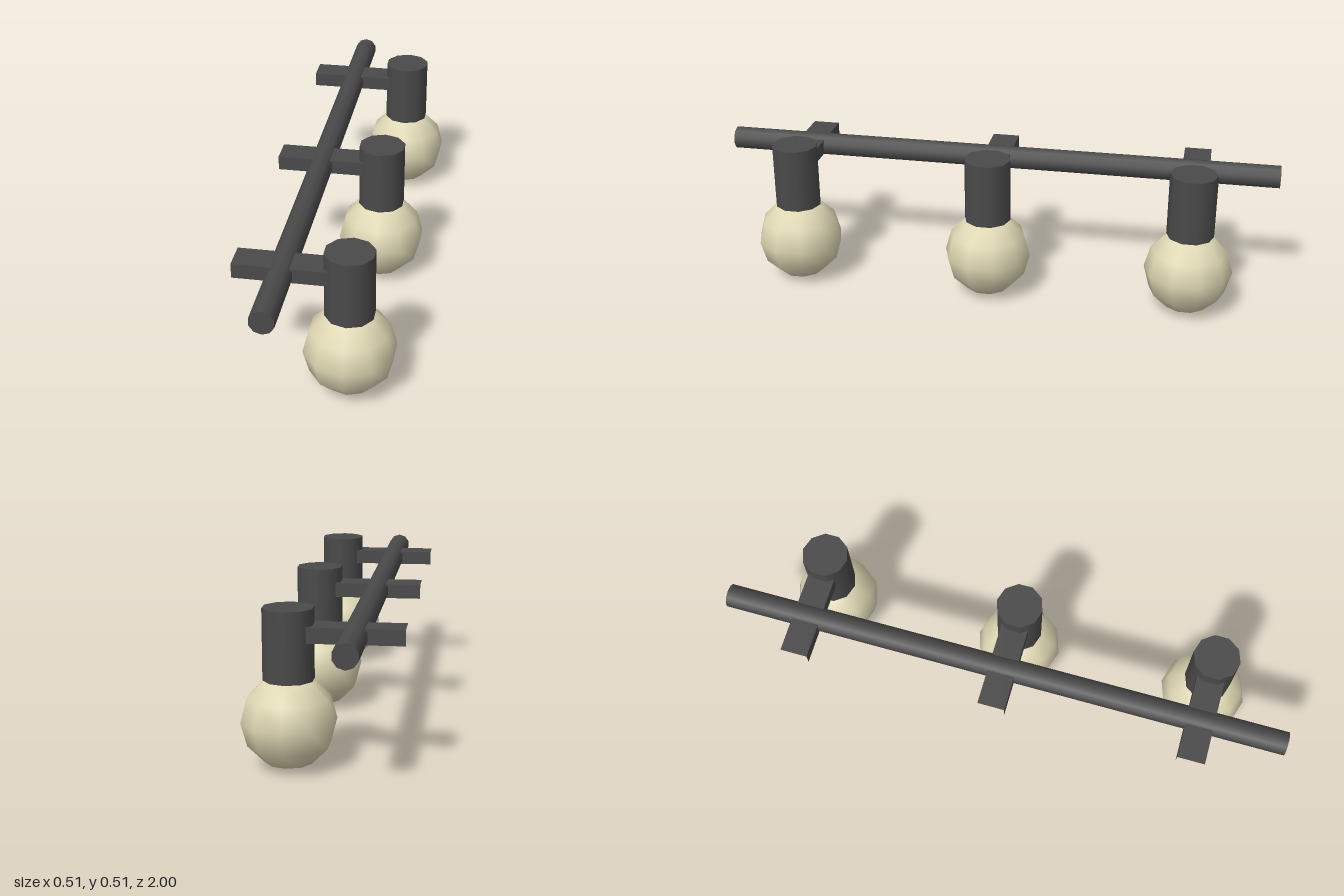
import * as THREE from 'three';

const dark = new THREE.MeshStandardMaterial({ color: 0x4a4a4a });
const cream = new THREE.MeshStandardMaterial({ color: 0xded7b3 });

function part(name, geometry, material, x, y, z) {
  const mesh = new THREE.Mesh(geometry, material);
  mesh.name = name;
  mesh.position.set(x, y, z);
  return mesh;
}

// Box tube along x, left open at both ends (first 12 indices are the x faces)
function openBar(length, height, depth) {
  const g = new THREE.BoxGeometry(length, height, depth);
  g.setIndex(Array.from(g.index.array).slice(12));
  g.clearGroups();
  return g;
}

export function createModel() {
  const model = new THREE.Group();
  model.name = 'railLamp';

  // Long rail, a ten-sided rod
  const railGeo = new THREE.CylinderGeometry(0.0405, 0.0405, 2, 10).rotateX(Math.PI / 2);
  model.add(part('rail', railGeo, dark, -0.102, 0.436, 0));

  const armGeo = openBar(0.32, 0.05, 0.095);
  const socketGeo = new THREE.CylinderGeometry(0.0815, 0.0815, 0.227, 10);
  const bulbGeo = new THREE.SphereGeometry(0.1525, 10, 6).rotateY(Math.PI / 2);

  // Three lamps: cross arm, socket and bulb
  for (const z of [-0.707, 0.002, 0.7]) {
    const lamp = new THREE.Group();
    lamp.name = 'lamp';
    lamp.position.z = z;
    lamp.add(
      part('arm', armGeo, dark, -0.095, 0.435, 0),
      part('socket', socketGeo, dark, 0.108, 0.3985, 0),
      part('bulb', bulbGeo, cream, 0.108, 0.1525, 0)
    );
    model.add(lamp);
  }
  return model;
}
